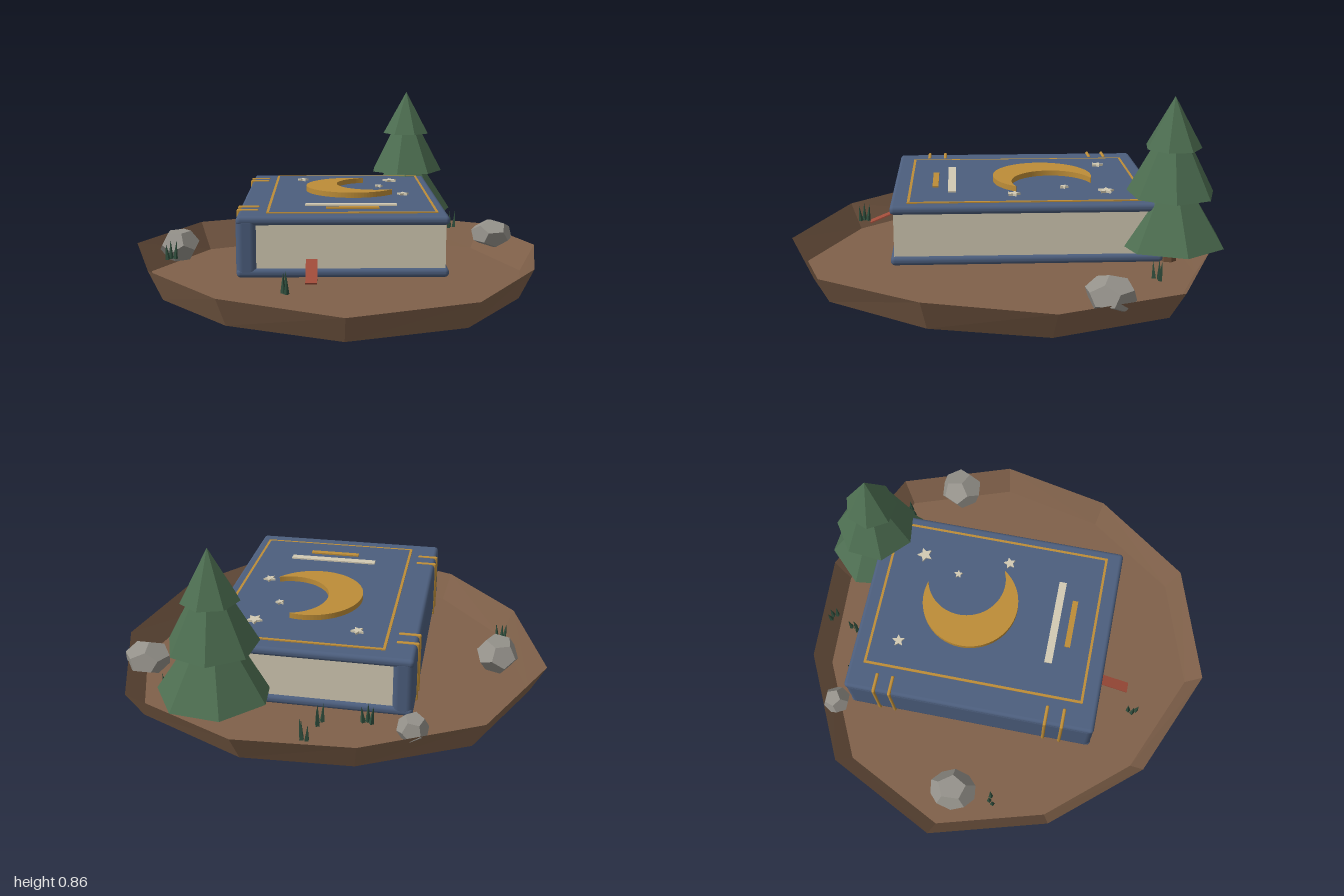
import * as THREE from 'three';
import { RoundedBoxGeometry } from 'three/addons/geometries/RoundedBoxGeometry.js';

const mat = (name, color, extra = {}) => {
  const m = new THREE.MeshStandardMaterial({ color, ...extra });
  m.name = name;
  return m;
};

export function createModel() {
  const model = new THREE.Group();
  model.name = 'bookDiorama';
  const flat = { flatShading: true };
  const soil = mat('soil brown', 0x80614a, { flatShading: true, side: THREE.DoubleSide });
  const blue = mat('cover blue', 0x4c5e7d);
  const cream = mat('page cream', 0xd2cab3);
  const gold = mat('gold', 0xbd8d38);
  const red = mat('ribbon red', 0xa04c3a);
  const pine = mat('pine green', 0x4d6e51, flat);
  const blade = mat('grass green', 0x2f4d3c, flat);
  const stone = mat('stone grey', 0x94918a, flat);
  const bark = mat('bark brown', 0x6b4c36, flat);

  const add = (name, geo, material, x = 0, y = 0, z = 0, parent = model) => {
    const mesh = new THREE.Mesh(geo, material);
    mesh.name = name;
    mesh.position.set(x, y, z);
    parent.add(mesh);
    return mesh;
  };
  // box given by its lower and upper limits; r > 0 rounds the edges
  const span = (name, material, x0, x1, y0, y1, z0, z1, r = 0, parent = model) => {
    const s = [x1 - x0, y1 - y0, z1 - z0];
    const geo = r ? new RoundedBoxGeometry(...s, 3, r) : new THREE.BoxGeometry(...s);
    return add(name, geo, material, (x0 + x1) / 2, (y0 + y1) / 2, (z0 + z1) / 2, parent);
  };

  // Ground dish: uneven rim [x, y, z], open on top, walls leaning in to a flat floor
  const rim = [
    [0.02, 0.118, 0.983], [0.565, 0.125, 0.80], [0.88, 0.14, 0.34], [0.995, 0.13, -0.195],
    [0.81, 0.13, -0.735], [0.27, 0.135, -0.985], [-0.245, 0.14, -0.96], [-0.745, 0.145, -0.715],
    [-1, 0.142, -0.2], [-0.845, 0.14, 0.35], [-0.5, 0.13, 0.757],
  ];
  const pts = [];
  rim.forEach((a, i) => {
    const b = rim[(i + 1) % rim.length];
    const la = [a[0] * 0.93, 0, a[2] * 0.93], lb = [b[0] * 0.93, 0, b[2] * 0.93];
    pts.push(...la, ...lb, ...b, ...la, ...b, ...a, 0, 0, 0, ...lb, ...la);
  });
  const dish = new THREE.BufferGeometry();
  dish.setAttribute('position', new THREE.Float32BufferAttribute(pts, 3));
  dish.computeVertexNormals();
  add('groundDish', dish, soil);

  // Book: pages between two rounded covers and a spine
  const book = new THREE.Group();
  book.name = 'book';
  model.add(book);
  span('pages', cream, -0.37, 0.465, 0.17, 0.38, -0.695, 0.465, 0, book);
  span('bottomCover', blue, -0.44, 0.48, 0.14, 0.18, -0.71, 0.48, 0.018, book);
  span('topCover', blue, -0.44, 0.48, 0.37, 0.41, -0.71, 0.48, 0.018, book);
  span('spine', blue, -0.442, -0.35, 0.14, 0.41, -0.71, 0.48, 0.03, book);
  for (const z of [-0.565, -0.49, 0.25, 0.33])
    span('spineBand', gold, -0.448, -0.35, 0.136, 0.416, z - 0.008, z + 0.008, 0.007, book);

  // Flat cover shapes are drawn as (x, -z) and laid on the cover
  const lay = (name, shape, material, depth, y = 0.408) => {
    const geo = new THREE.ExtrudeGeometry(shape, { depth, bevelEnabled: false, curveSegments: 32 });
    geo.rotateX(-Math.PI / 2);
    return add(name, geo, material, 0, y, 0, book);
  };
  const rect = (Type, x0, x1, z0, z1) => new Type([[x0, z0], [x1, z0], [x1, z1], [x0, z1]]
    .map(([x, z]) => new THREE.Vector2(x, -z)));
  const frame = rect(THREE.Shape, -0.313, 0.437, -0.643, 0.407);
  frame.holes.push(rect(THREE.Path, -0.301, 0.425, -0.631, 0.395));
  lay('coverFrame', frame, gold, 0.007);
  lay('titleBar', rect(THREE.Shape, -0.147, 0.27, 0.195, 0.231), cream, 0.009);
  lay('subtitleBar', rect(THREE.Shape, -0.053, 0.185, 0.275, 0.302), gold, 0.009);

  // Crescent: long way round the outer circle, back along the inner one
  const tipA = [0.14, 0.43], tipB = [0.267, 0.077];
  const angle = (p, c) => Math.atan2(p[1] - c[1], p[0] - c[0]);
  const outer = [0.08, 0.208], inner = [0.19, 0.248];
  const moon = new THREE.Shape();
  moon.absarc(...outer, 0.23, angle(tipA, outer), angle(tipB, outer), false);
  moon.absarc(...inner, 0.188, angle(tipB, inner), angle(tipA, inner), true);
  lay('moon', moon, gold, 0.027);

  // Stars: x, z, radius, turn
  for (const [x, z, r, turn] of [[-0.175, -0.505, 0.03, 0.2], [0.285, -0.48, 0.038, 0.5],
    [0.215, -0.297, 0.021, 0.1], [0.32, -0.062, 0.03, 0.35]]) {
    const star = new THREE.Shape(Array.from({ length: 10 }, (_, i) => {
      const a = turn + i * Math.PI / 5, q = i % 2 ? r * 0.48 : r;
      return new THREE.Vector2(x + q * Math.cos(a), -z + q * Math.sin(a));
    }));
    lay('star', star, cream, 0.012);
  }

  // Ribbon bookmark drooping out of the pages
  const ribbon = add('ribbon', new THREE.BoxGeometry(0.05, 0.006, 0.19), red, -0.115, 0.19, 0.53, book);
  ribbon.rotation.x = 0.4;

  // Pine: trunk and three seven-sided tiers [base y, radius, height, turn]
  const tree = new THREE.Group();
  tree.name = 'pineTree';
  tree.position.set(0.39, 0, -0.75);
  model.add(tree);
  add('trunk', new THREE.CylinderGeometry(0.03, 0.038, 0.16, 7), bark, 0, 0.2, 0, tree);
  for (const [y, r, h, turn] of [[0.213, 0.25, 0.38, 1.69], [0.432, 0.196, 0.37, 1.48], [0.638, 0.125, 0.225, 1.2]])
    add('pineTier', new THREE.ConeGeometry(r, h, 7), pine, 0, y + h / 2, 0, tree).rotation.y = turn;

  // Rocks: centre, radii, turn
  for (const [x, y, z, rx, ry, rz, turn] of [
    [-0.775, 0.15, -0.125, 0.098, 0.085, 0.115, 0.5],
    [0.82, 0.14, -0.425, 0.11, 0.076, 0.11, 1.1],
    [-0.45, 0.14, -0.785, 0.068, 0.07, 0.068, 0.3]]) {
    const geo = new THREE.DodecahedronGeometry(1).rotateX(turn).rotateY(turn * 2);
    add('rock', geo, stone, x, y, z).scale.set(rx, ry, rz);
  }

  // Grass tufts of three leaning blades
  [[-0.79, 0.055], [-0.23, 0.66], [-0.26, -0.745], [-0.055, -0.79], [-0.015, -0.92], [0.63, -0.66]].forEach(([x, z], k) => {
    const tuft = new THREE.Group();
    tuft.name = 'grassTuft';
    tuft.position.set(x, 0.125, z);
    tuft.rotation.y = k * 1.3 + 0.4;
    model.add(tuft);
    [-1, 0, 1].forEach((i) => {
      const h = 0.095 - 0.012 * Math.abs(i - 0.4);
      const leaf = add('grassBlade', new THREE.ConeGeometry(0.012, h, 4), blade, i * 0.022, h / 2, i * i * 0.012, tuft);
      leaf.rotation.z = -i * 0.1;
    });
  });

  return model;
}
